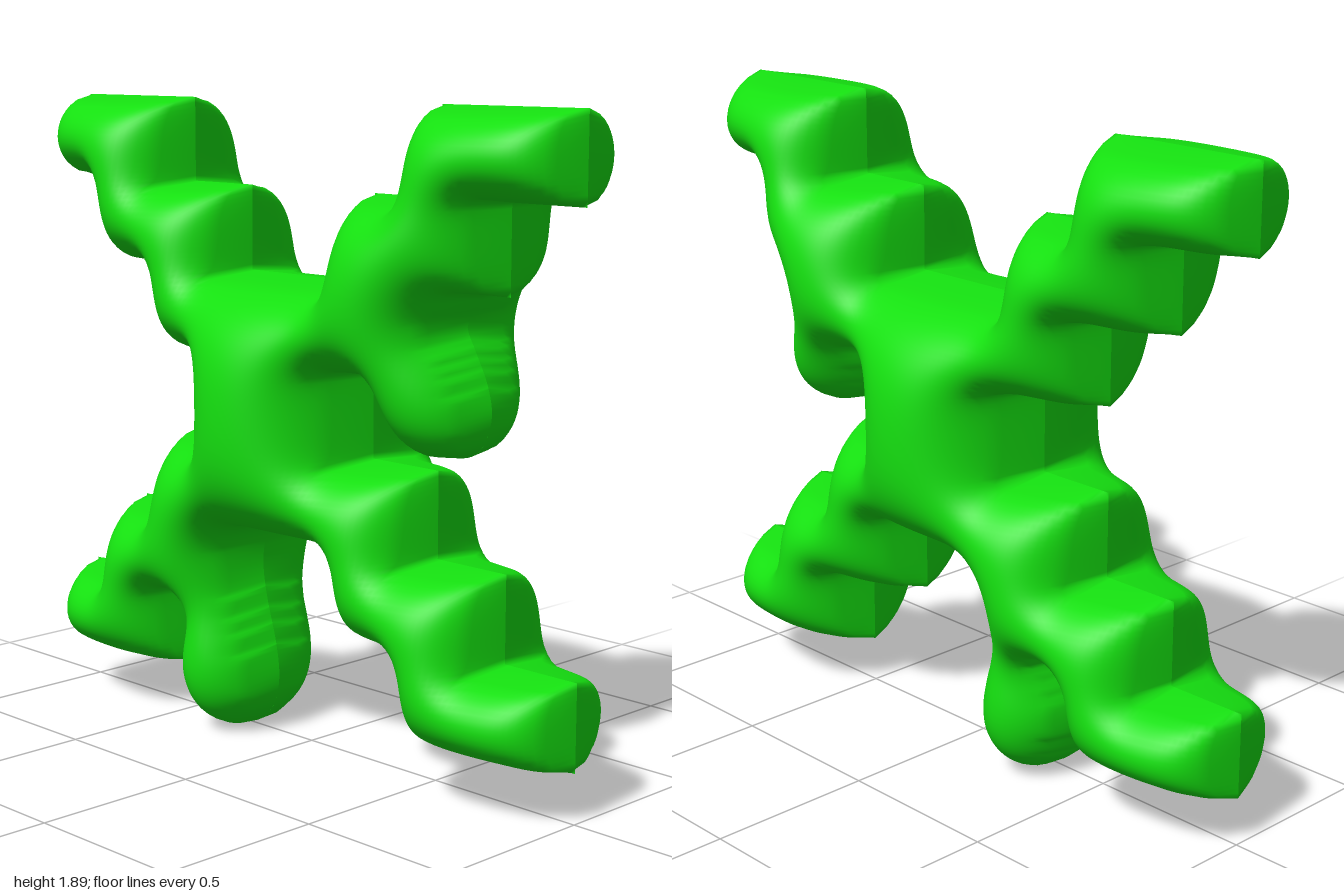
import * as THREE from 'three';

const BASE = 0.145;            // height of the lowest square's underside
const H = 1 / 64;              // grid spacing, sixteen cells to a square
const X0 = -66, Y0 = -12, NX = 133, NY = 127;
const PEAK = 0.385, ARM = 0.268; // half depth at the middle and along an arm

// Stepped cross outline with two hanging drips
function makeOutline() {
  const shape = new THREE.Shape();
  const steps = (...pairs) => pairs.forEach(([a, b]) => shape.lineTo(a / 4, BASE + b / 4));
  const drip = (...pts) => {
    shape.lineTo(...pts[0]);
    shape.splineThru(pts.slice(1).map(p => new THREE.Vector2(...p)));
  };
  shape.moveTo(-1, BASE);
  steps([-2, 0], [-2, 1]);
  drip([-0.385, 0.395], [-0.38, 0.36], [-0.405, 0.28], [-0.42, 0.2], [-0.405, 0.11], [-0.36, 0.04],
    [-0.28, 0.003], [-0.2, 0.035], [-0.155, 0.1], [-0.14, 0.18], [-0.155, 0.28], [-0.19, 0.4],
    [-0.208, 0.5], [-0.2, 0.58], [-0.165, 0.645]);
  steps([1, 2], [1, 1], [2, 1], [2, 0], [4, 0], [4, 1], [3, 1], [3, 2], [2, 2], [2, 3], [1, 3], [1, 4]);
  drip([0.415, 1.145], [0.415, 1.08], [0.44, 1.01], [0.5, 0.955], [0.575, 0.94], [0.65, 0.97],
    [0.69, 1.06], [0.675, 1.15], [0.63, 1.24], [0.6, 1.3], [0.62, 1.345], [0.655, 1.395]);
  steps([3, 5], [3, 6], [4, 6], [4, 7], [2, 7], [2, 6], [1, 6], [1, 5], [-1, 5], [-1, 6], [-2, 6],
    [-2, 7], [-4, 7], [-4, 6], [-3, 6], [-3, 5], [-2, 5], [-2, 4], [-1, 4], [-1, 3], [-2, 3],
    [-2, 2], [-3, 2], [-3, 1], [-4, 1], [-4, 0]);
  return shape.getPoints(5);
}

// Nearest outline point, and whether (x, y) lies within the outline
function locate(outline, x, y) {
  let inside = false, best = Infinity, bx = x, by = y;
  for (let k = 0, n = outline.length; k < n; k++) {
    const p = outline[k], q = outline[(k + 1) % n];
    const dx = q.x - p.x, dy = q.y - p.y, len = dx * dx + dy * dy;
    if (len < 1e-12) continue;
    if ((p.y > y) !== (q.y > y) && x < p.x + (y - p.y) / dy * dx) inside = !inside;
    const t = Math.min(1, Math.max(0, ((x - p.x) * dx + (y - p.y) * dy) / len));
    const cx = p.x + t * dx, cy = p.y + t * dy, d = Math.hypot(x - cx, y - cy);
    if (d < best) { best = d; bx = cx; by = cy; }
  }
  return { inside: inside && best > 0.3 * H, bx, by };
}

// Pressure-like field, zero at the outline and swelling where the shape is wide
function inflate(inside) {
  const u = new Float64Array(NX * NY), damp = 4 + 25 * H * H;
  for (let pass = 0; pass < 400; pass++) {
    for (let n = NX; n < NX * (NY - 1); n++) {
      if (!inside[n]) continue;
      const target = (u[n - 1] + u[n + 1] + u[n - NX] + u[n + NX] + H * H) / damp;
      u[n] += 1.8 * (target - u[n]);
    }
  }
  return u;
}

export function createModel() {
  const outline = makeOutline();
  const inside = new Uint8Array(NX * NY), flat = [];
  for (let j = 0; j < NY; j++) {
    for (let i = 0; i < NX; i++) {
      const x = (X0 + i) * H, y = BASE + (Y0 + j) * H;
      const spot = locate(outline, x, y);
      inside[j * NX + i] = spot.inside ? 1 : 0;
      flat.push(spot.inside ? [x, y] : [spot.bx, spot.by]);
    }
  }

  // Fit the swelling to the depths of the middle and the arms
  const u = inflate(inside);
  let uMid = 0, uArm = 0;
  u.forEach((v, n) => {
    const x = flat[n][0];
    if (Math.abs(x) < 0.2) uMid = Math.max(uMid, v);
    if (x < -0.6) uArm = Math.max(uArm, v);
  });
  const power = THREE.MathUtils.clamp(Math.log(PEAK / ARM) / Math.log(uMid / uArm), 0.35, 0.6);
  const depth = n => (inside[n] ? PEAK * Math.pow(u[n] / uMid, power) : 0);

  const material = new THREE.MeshStandardMaterial({ color: 0x15e010 });
  const group = new THREE.Group();
  group.name = 'drippingCross';

  // Front and back are mirrored puffed sheets meeting at the outline
  for (const [name, side] of [['frontHalf', 1], ['backHalf', -1]]) {
    const positions = [], index = [];
    flat.forEach(([x, y], n) => positions.push(x, y, side * depth(n)));
    for (let j = 0; j < NY - 1; j++) {
      for (let i = 0; i < NX - 1; i++) {
        const a = j * NX + i, b = a + 1, d = a + NX, c = d + 1;
        if (!(inside[a] || inside[b] || inside[c] || inside[d])) continue;
        if (side > 0) index.push(a, b, c, a, c, d);
        else index.push(a, c, b, a, d, c);
      }
    }
    const sheet = new THREE.BufferGeometry();
    sheet.setAttribute('position', new THREE.Float32BufferAttribute(positions, 3));
    sheet.setIndex(index);
    sheet.computeVertexNormals();
    const mesh = new THREE.Mesh(sheet.toNonIndexed(), material); // drops the unused grid points
    mesh.name = name;
    group.add(mesh);
  }
  return group;
}
